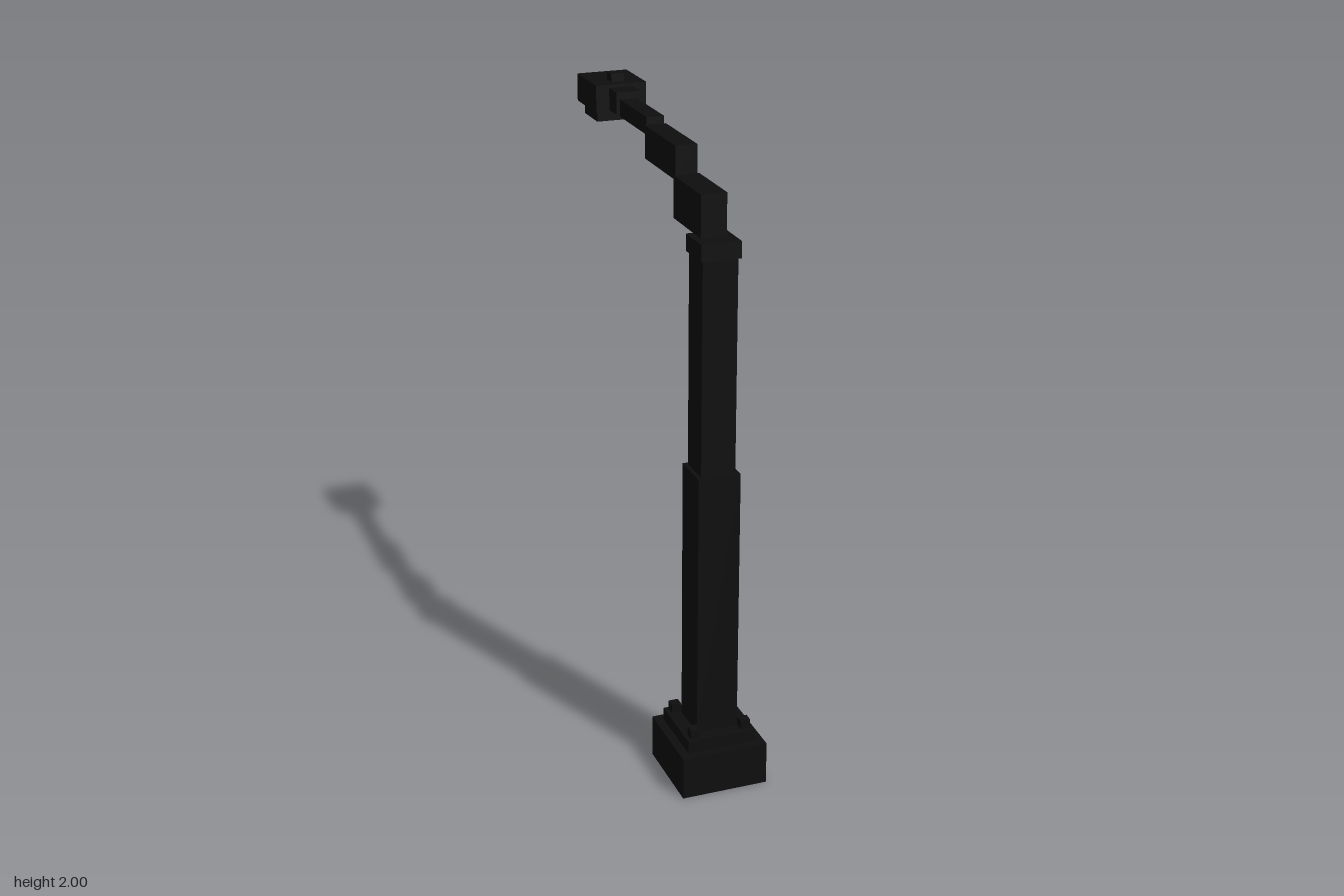
import * as THREE from 'three';

export function createModel() {
  const lamp = new THREE.Group();
  lamp.name = 'streetLamp';
  const blackMetal = new THREE.MeshStandardMaterial({ color: 0x0e0e0e });
  blackMetal.name = 'blackMetal';

  // Box from its extents along each axis
  const block = (name, [x0, x1], [y0, y1], [z0, z1]) => {
    const mesh = new THREE.Mesh(new THREE.BoxGeometry(x1 - x0, y1 - y0, z1 - z0), blackMetal);
    mesh.name = name;
    mesh.position.set((x0 + x1) / 2, (y0 + y1) / 2, (z0 + z1) / 2);
    lamp.add(mesh);
  };
  const poleZ = 0.41;

  // Square tiers of the base and pole: half width, bottom, top
  const tiers = [
    ['footing', 0.135, 0, 0.135],
    ['basePlate', 0.108, 0.135, 0.175],
    ['lowerPole', 0.065, 0.175, 1.01],
    ['upperPole', 0.053, 1.01, 1.66],
    ['poleCollar', 0.06, 1.66, 1.71],
  ];
  for (const [name, h, y0, y1] of tiers) {
    block(name, [-h, h], [y0, y1], [poleZ - h, poleZ + h]);
  }

  // Anchor bolts on the plate corners
  for (const sx of [-1, 1]) {
    for (const sz of [-1, 1]) {
      const x = sx * 0.081, z = poleZ + sz * 0.081;
      block('anchorBolt', [x - 0.015, x + 0.015], [0.175, 0.205], [z - 0.015, z + 0.015]);
    }
  }

  // Service hatch on the left side of the pole
  block('serviceHatch', [0.065, 0.075], [0.275, 0.44], [0.37, 0.45]);

  // Stepped arm and lamp head: half width, bottom, top, back, front
  const armParts = [
    ['armRoot', 0.039, 1.71, 1.835, 0.197, 0.41],
    ['armMiddle', 0.033, 1.82, 1.92, -0.06, 0.197],
    ['armTip', 0.027, 1.89, 1.943, -0.296, -0.06],
    ['headNeck', 0.039, 1.897, 1.965, -0.362, -0.296],
    ['lampHead', 0.081, 1.89, 1.975, -0.545, -0.362],
    ['lampLens', 0.067, 1.855, 1.89, -0.518, -0.395],
    ['lightSensor', 0.021, 1.975, 2.0, -0.435, -0.394],
  ];
  for (const [name, h, y0, y1, z0, z1] of armParts) {
    block(name, [-h, h], [y0, y1], [z0, z1]);
  }
  return lamp;
}
